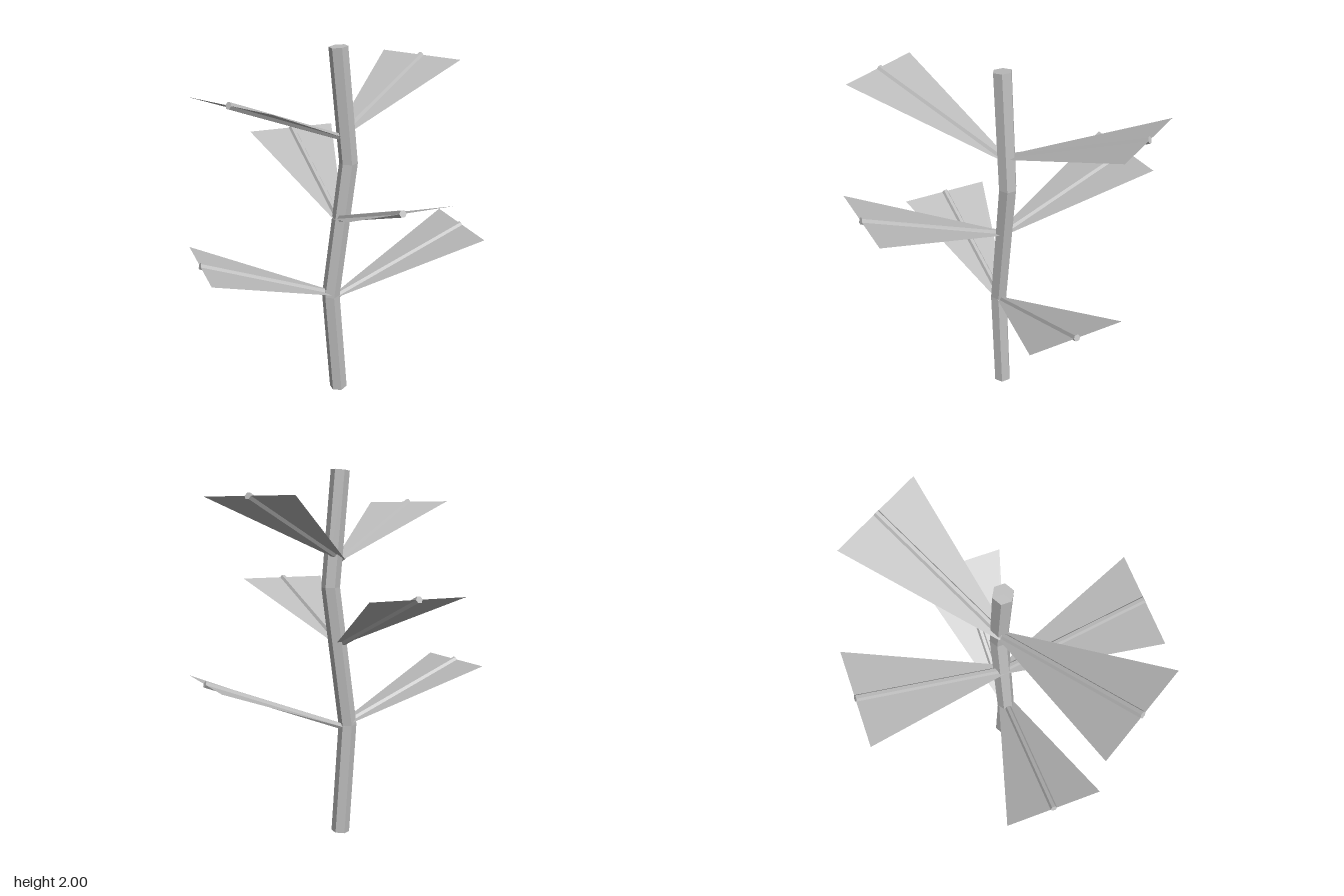
import * as THREE from 'three';

const bark = new THREE.MeshStandardMaterial({ color: 0xbcbcbc, flatShading: true, side: THREE.DoubleSide });
bark.name = 'plain grey';

const LENGTH = 0.829;            // leaf length along its rib
const TILT = Math.atan(0.405);   // upward slope of every leaf

// Bent hexagonal stem: each ring is moved to a knee point and leaned with the stem
function makeStem() {
  const rings = [ // x, y, lean (rise of the ring per unit of x)
    [0.0, 1.996, 0.09],
    [0.058, 1.385, -0.02],
    [-0.045, 0.62, -0.03],
    [0.0, 0.003, 0.072],
  ];
  const geometry = new THREE.CylinderGeometry(0.05, 0.05, 3, 6, 3);
  const p = geometry.attributes.position;
  for (let i = 0; i < p.count; i++) {
    const [cx, cy, lean] = rings[Math.round(1.5 - p.getY(i))];
    const x = p.getX(i);
    p.setXYZ(i, cx + x, cy + x * lean, p.getZ(i));
  }
  geometry.computeVertexNormals();
  const stem = new THREE.Mesh(geometry, bark);
  stem.name = 'stem';
  return stem;
}

// Flat flared blade with a hexagonal rib along its middle, pointing along +z
function makeLeaf(y, angle) {
  const leaf = new THREE.Group();
  leaf.name = 'leaf';

  const outline = new THREE.Shape([
    new THREE.Vector2(-0.028, 0), new THREE.Vector2(0.028, 0),
    new THREE.Vector2(0.26, -LENGTH), new THREE.Vector2(-0.26, -LENGTH),
  ]);
  const blade = new THREE.Mesh(new THREE.ShapeGeometry(outline).rotateX(-Math.PI / 2), bark);
  blade.name = 'blade';

  const rib = new THREE.Mesh(
    new THREE.CylinderGeometry(0.018, 0.018, LENGTH, 6)
      .rotateY(Math.PI / 6).rotateX(Math.PI / 2).translate(0, 0, LENGTH / 2), bark);
  rib.name = 'rib';

  leaf.add(blade, rib);
  leaf.position.y = y;
  leaf.rotation.set(-TILT, angle, 0, 'YXZ');
  return leaf;
}

export function createModel() {
  const plant = new THREE.Group();
  plant.name = 'plant';
  plant.add(makeStem());

  // Three tiers of opposite leaf pairs
  for (const [y, degrees] of [[0.615, 90], [1.075, 0], [1.535, 120]]) {
    for (const turn of [0, 180]) {
      plant.add(makeLeaf(y, THREE.MathUtils.degToRad(degrees + turn)));
    }
  }
  return plant;
}
